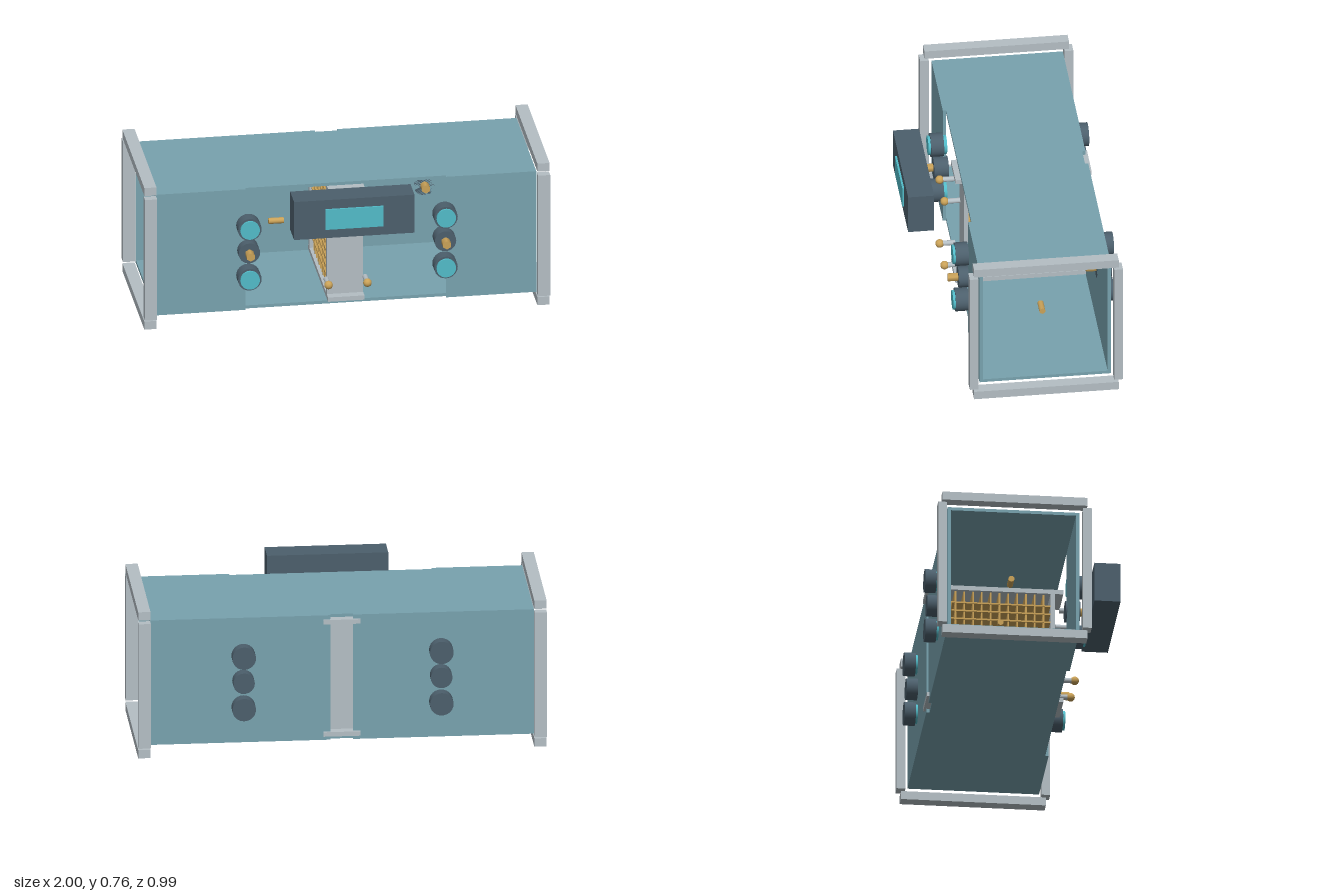
import * as THREE from 'three';

function mat(name, color) {
  const m = new THREE.MeshStandardMaterial({ color });
  m.name = name;
  return m;
}

export function createModel() {
  const model = new THREE.Group();
  model.name = 'ductModule';
  const teal = mat('ductTeal', 0x78a2ae);
  const grey = mat('frameGrey', 0xb4bec4);
  const dark = mat('housingSlate', 0x4c5f6c);
  const cyan = mat('lensCyan', 0x52bbc8);
  const brass = mat('brass', 0xcaa258);

  const add = (name, geo, material, x, y, z) => {
    const mesh = new THREE.Mesh(geo, material);
    mesh.name = name;
    mesh.position.set(x, y, z);
    model.add(mesh);
    return mesh;
  };
  // box given by its limits on each axis
  const box = (name, m, [x0, x1], [y0, y1], [z0, z1]) =>
    add(name, new THREE.BoxGeometry(x1 - x0, y1 - y0, z1 - z0), m, (x0 + x1) / 2, (y0 + y1) / 2, (z0 + z1) / 2);
  // cylinder along z between two depths
  const rodZ = (name, m, x, y, z0, z1, r, sides = 24) => {
    const geo = new THREE.CylinderGeometry(r, r, z1 - z0, sides).rotateX(Math.PI / 2);
    return add(name, geo, m, x, y, (z0 + z1) / 2);
  };

  const midY = 0.379, midZ = -0.107;

  // duct: roof and floor, with front and back walls split around their openings
  const full = [-0.94, 0.94];
  box('ductFloor', teal, full, [0.057, 0.073], [-0.415, 0.199]);
  box('ductRoof', teal, full, [0.685, 0.701], [-0.415, 0.199]);
  for (const s of [-1, 1]) {
    const span = (a, b) => (s > 0 ? [a, b] : [-b, -a]);
    box('frontWall', teal, span(0.495, 0.94), [0.057, 0.701], [0.199, 0.215]);
    box('backWall', teal, span(0.055, 0.94), [0.057, 0.701], [-0.431, -0.415]);

    // end flange bars
    const end = span(0.94, 1);
    box('flangeBottom', grey, end, [0, 0.043], [-0.462, 0.249]);
    box('flangeTop', grey, end, [0.713, 0.756], [-0.462, 0.249]);
    box('flangePostFront', grey, end, [0.057, 0.701], [0.228, 0.27]);
    box('flangePostBack', grey, end, [0.057, 0.701], [-0.483, -0.44]);

    // sensor columns: two lamps with a hex fitting between, front and back
    const x = s * 0.484;
    for (const y of [midY - 0.133, midY + 0.133]) {
      rodZ('frontLampHousing', dark, x, y, 0.216, 0.28, 0.058);
      rodZ('frontLampLens', cyan, x, y, 0.2, 0.292, 0.048);
      rodZ('backLampHousing', dark, x, y, -0.497, -0.442, 0.058);
      rodZ('backLampLens', cyan, x, y, -0.49, -0.425, 0.048);
    }
    rodZ('frontSensorBody', dark, x, midY, 0.192, 0.264, 0.053);
    rodZ('frontSensorTip', brass, x, midY, 0.264, 0.314, 0.022, 6);
    rodZ('backSensorBody', dark, x, midY, -0.487, -0.415, 0.053);
    rodZ('backSensorTip', brass, x, midY, -0.415, -0.365, 0.022, 6);

    // probes lying along the duct axis
    for (const px of [0.296, 0.8]) {
      const geo = new THREE.CylinderGeometry(0.015, 0.015, 0.075, 16).rotateZ(Math.PI / 2);
      add('axialProbe', geo, brass, s * px, midY, midZ);
    }

    // ball-ended pull handles
    for (const y of [midY - 0.187, midY + 0.187]) {
      rodZ('handleStem', grey, s * 0.096, y, 0.205, 0.28, 0.013, 16);
      add('handleKnob', new THREE.SphereGeometry(0.021, 20, 14), brass, s * 0.096, y, 0.281);
    }
  }

  // cartridge frame in the middle of the duct
  const depth = [-0.09, 0.09];
  box('cartridgeTopRail', grey, depth, [0.657, 0.68], [-0.443, 0.226]);
  box('cartridgeBottomRail', grey, depth, [0.077, 0.1], [-0.443, 0.226]);
  box('cartridgeFrontPost', grey, depth, [0.1, 0.657], [0.163, 0.184]);
  box('cartridgeBackPost', grey, depth, [0.1, 0.657], [-0.398, -0.377]);

  // grid of slats inside the cartridge
  const pitch = 0.0432, half = 0.004;
  for (let i = 0; i < 12; i++) {
    const z = midZ + (i - 5.5) * pitch;
    box('verticalSlat', brass, [-0.075, 0.075], [0.1, 0.657], [z - half, z + half]);
  }
  for (let i = -5; i <= 5; i++) {
    const y = midY + i * pitch;
    box('horizontalSlat', brass, [-0.08, 0.08], [y - half, y + half], [-0.377, 0.163]);
  }

  // control box with screen
  box('controlBox', dark, [-0.297, 0.297], [0.535, 0.738], [0.357, 0.485]);
  box('screen', cyan, [-0.143, 0.143], [0.583, 0.69], [0.485, 0.4945]);

  return model;
}
